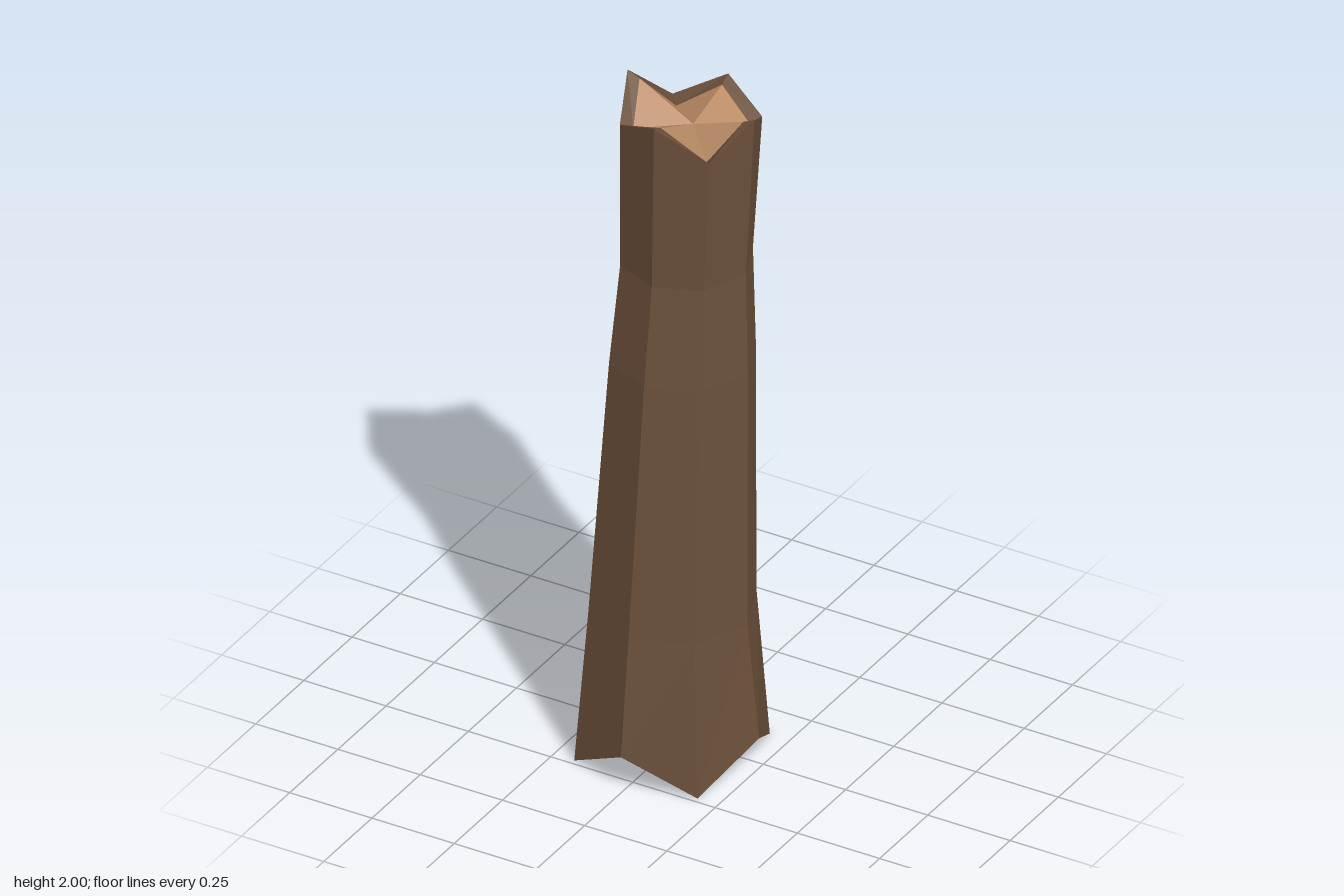
import * as THREE from 'three';

const SIDES = 8;
const bark = new THREE.MeshStandardMaterial({ color: 0x6b4f3a, flatShading: true });
const wood = new THREE.MeshStandardMaterial({ color: 0xb98a64, flatShading: true });

// Horizontal eight-sided ring; y may be a function of the corner index
function ring(cx, cz, r, y) {
  return Array.from({ length: SIDES }, (_, k) => {
    const a = (k * Math.PI * 2) / SIDES;
    const h = typeof y === 'function' ? y(k) : y;
    return new THREE.Vector3(cx + r * Math.sin(a), h, cz + r * Math.cos(a));
  });
}

// Skin a chain of rings; the last entry may be a single point, closing with a fan
function skin(name, material, ...rings) {
  const out = [];
  for (let i = 0; i + 1 < rings.length; i++) {
    const a = rings[i], b = rings[i + 1];
    for (let k = 0; k < SIDES; k++) {
      const n = (k + 1) % SIDES;
      if (b.isVector3) out.push(a[k], a[n], b);
      else out.push(a[k], a[n], b[n], a[k], b[n], b[k]);
    }
  }
  const geometry = new THREE.BufferGeometry().setFromPoints(out);
  geometry.computeVertexNormals();
  const mesh = new THREE.Mesh(geometry, material);
  mesh.name = name;
  return mesh;
}

export function createModel() {
  const group = new THREE.Group();
  group.name = 'treeTrunk';

  // Trunk: zigzag foot, gentle backward lean, jagged broken rim
  const rimY = [1.98, 1.885, 1.965, 1.885, 1.945, 1.87, 2.0, 1.92];
  const foot = ring(0, 0.047, 0.265, (k) => (k % 2 ? 0 : 0.11));
  const low = ring(0, 0.045, 0.228, 0.45);
  const mid = ring(0.01, 0.01, 0.199, 1.2);
  const high = ring(0.012, -0.008, 0.18, 1.49);
  const rim = ring(0.018, -0.021, 0.193, (k) => rimY[k]);
  const rimInner = ring(0.02, -0.02, 0.158, (k) => rimY[k] - 0.015);
  group.add(skin('trunkBark', bark, foot, low, mid, high, rim, rimInner));

  // Exposed wood at the broken top
  group.add(skin('topWood', wood, rimInner, new THREE.Vector3(0.025, 1.895, -0.02)));

  // Underside, wound the other way round so that it faces down
  const footInner = ring(0, 0.047, 0.215, (k) => (k % 2 ? 0.03 : 0.09));
  const flip = (r) => r.slice().reverse();
  group.add(skin('underside', bark, flip(foot), flip(footInner), new THREE.Vector3(0, 0.09, 0.047)));

  // Branch stub: grows from the back corner of the trunk, between the mid and high rings
  const half = (k) => mid[k].clone().lerp(high[k], 0.5);
  const base = [half(6), high[6], high[5], high[4], half(4), mid[4], mid[5], mid[6]];
  const side = new THREE.Vector3(-0.69, 0, 0.72);
  const up = new THREE.Vector3(0.25, 0.94, 0.24);
  const out = new THREE.Vector3().crossVectors(side, up).normalize();
  const centre = new THREE.Vector3(-0.16, 1.427, -0.256);
  const tipRing = (r, push) => Array.from({ length: SIDES }, (_, k) => {
    const a = (k * Math.PI * 2) / SIDES;
    return centre.clone().addScaledVector(side, r * Math.cos(a))
      .addScaledVector(up, 0.92 * r * Math.sin(a)).addScaledVector(out, push);
  });
  const tipInner = tipRing(0.046, 0.004);
  group.add(skin('branchBark', bark, base, tipRing(0.08, 0), tipInner));
  group.add(skin('branchWood', wood, tipInner, centre.clone().addScaledVector(out, 0.004)));

  return group;
}
